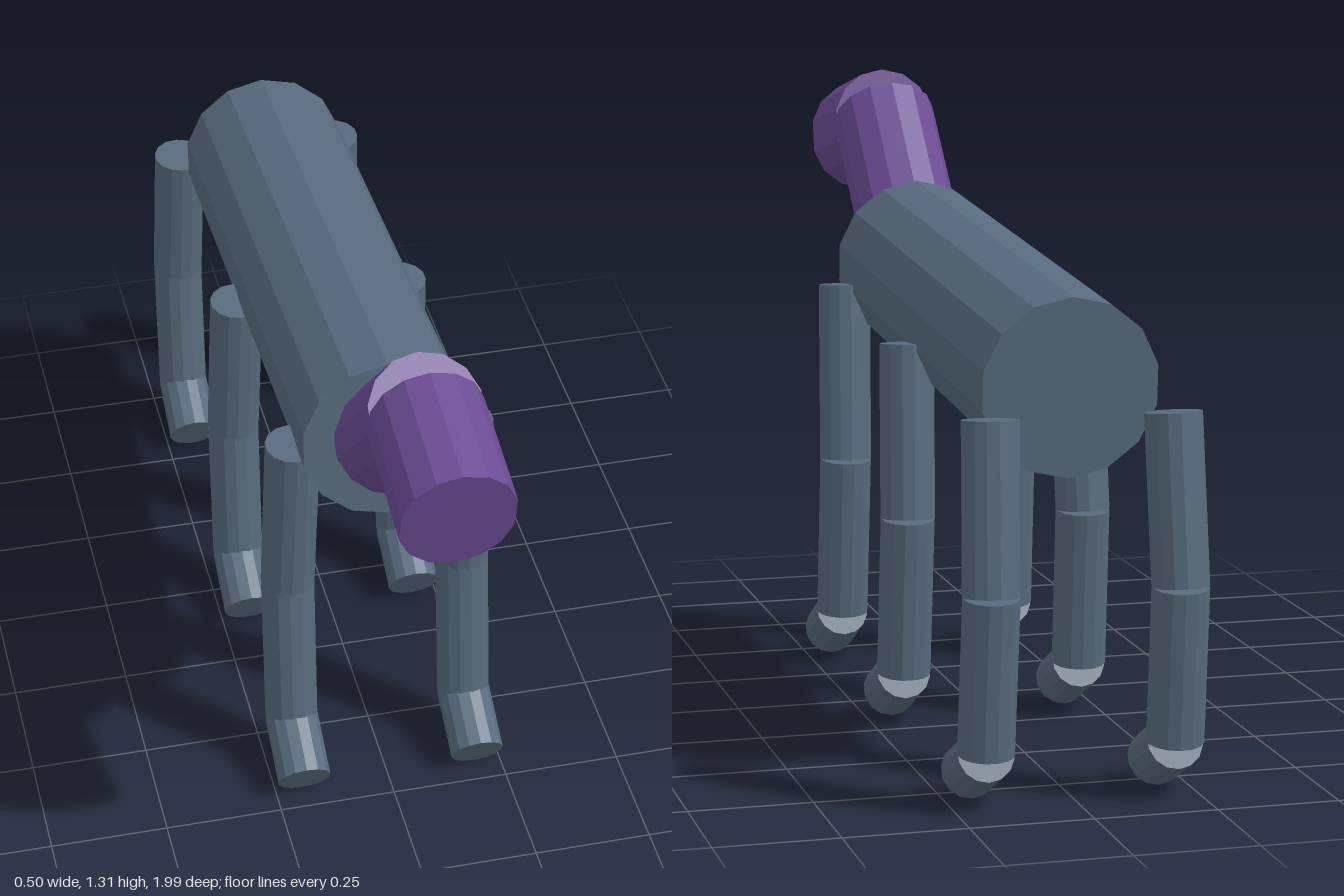
import * as THREE from 'three';

const SIDES = 14;

// Closed faceted cylinder running from one point to another
function limb(name, from, to, radius, material) {
  const a = new THREE.Vector3(...from);
  const b = new THREE.Vector3(...to);
  const dir = b.clone().sub(a);
  const mesh = new THREE.Mesh(
    new THREE.CylinderGeometry(radius, radius, dir.length(), SIDES),
    material
  );
  mesh.name = name;
  mesh.position.copy(a).add(b).multiplyScalar(0.5);
  mesh.quaternion.setFromUnitVectors(new THREE.Vector3(0, 1, 0), dir.normalize());
  return mesh;
}

export function createModel() {
  const slate = new THREE.MeshStandardMaterial({ color: 0x576a7d, flatShading: true });
  slate.name = 'slate';
  const purple = new THREE.MeshStandardMaterial({ color: 0x6a4c93, flatShading: true });
  purple.name = 'purple';

  const model = new THREE.Group();
  model.name = 'sixLeggedAnimal';

  // Body, neck and head
  model.add(
    limb('body', [0, 0.815, -0.822], [0, 0.908, 0.418], 0.181, slate),
    limb('neck', [0, 0.912, 0.42], [0, 1.208, 0.721], 0.115, purple),
    limb('head', [0, 1.2, 0.718], [0, 1.148, 0.976], 0.115, purple),
    limb('jaw', [0, 1.178, 0.714], [0, 1.127, 0.97], 0.115, purple)
  );

  // Three pairs of legs: [y, z] of hip, knee, ankle and toe
  const pairs = {
    front: [[0.869, 0.34], [0.482, 0.307], [0.126, 0.34], [0.054, 0.47]],
    middle: [[0.823, -0.238], [0.46, -0.271], [0.122, -0.24], [0.053, -0.112]],
    hind: [[0.775, -0.902], [0.437, -0.937], [0.12, -0.906], [0.053, -0.777]],
  };
  const spread = [0.183, 0.19, 0.192, 0.192];
  const segments = ['UpperLeg', 'LowerLeg', 'Foot'];

  for (const [pair, joints] of Object.entries(pairs)) {
    for (const side of [1, -1]) {
      const leg = new THREE.Group();
      leg.name = `${pair}${side > 0 ? 'Left' : 'Right'}Leg`;
      const points = joints.map(([y, z], i) => [side * spread[i], y, z]);
      segments.forEach((segment, i) => {
        leg.add(limb(pair + segment, points[i], points[i + 1], 0.057, slate));
      });
      model.add(leg);
    }
  }
  return model;
}
